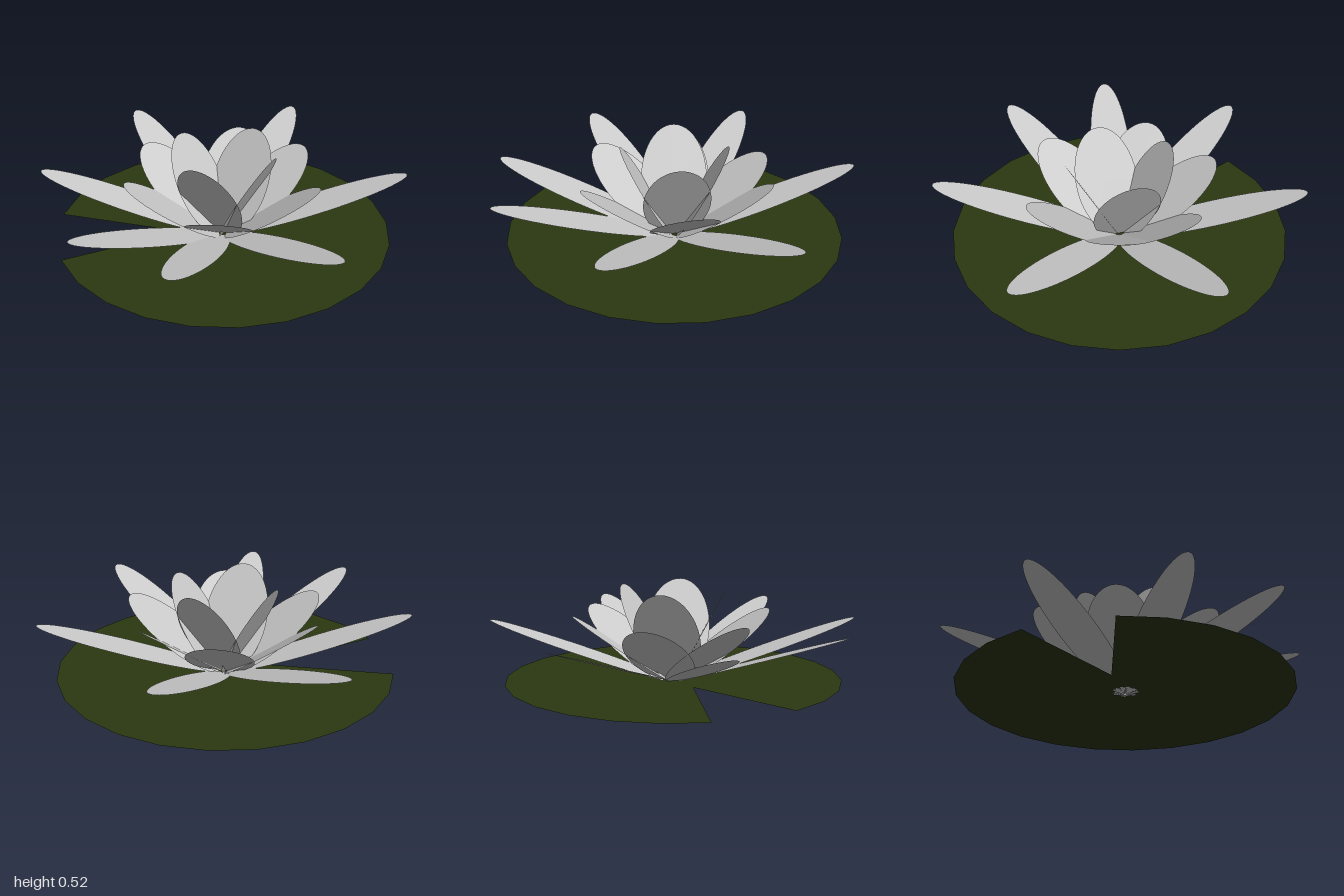
import * as THREE from 'three';

const CENTRE = [0.042, 0, -0.003];
const rad = THREE.MathUtils.degToRad;

// Flat elliptical petal running outwards along +x from the flower's heart, tilted up
function petalGeometry(reach, height, halfWidth) {
  const start = 0.01;
  const run = reach - start;
  const halfLength = Math.hypot(run, height) / 2;
  const geo = new THREE.CircleGeometry(1, 48);
  geo.rotateX(-Math.PI / 2);
  geo.scale(halfLength, 1, halfWidth);
  geo.translate(halfLength, 0, 0);
  geo.rotateZ(Math.atan2(height, run));
  geo.translate(start, 0, 0);
  return geo;
}

// Ring of equal petals, each at its own angle in degrees (from +x towards +z)
function petalRing(name, geo, angles, material) {
  const ring = new THREE.Group();
  ring.name = name;
  for (const angle of angles) {
    const petal = new THREE.Mesh(geo, material);
    petal.name = name.replace('Petals', 'Petal');
    petal.rotation.y = -rad(angle);
    ring.add(petal);
  }
  return ring;
}

// Thin 24-sided leaf with a wedge-shaped notch
function padGeometry(radius) {
  const points = [];
  for (let i = 0; i <= 22; i++) {
    const a = rad(165 + i * 15);
    points.push(new THREE.Vector2(radius * Math.cos(a), radius * Math.sin(a)));
  }
  const notch = rad(150);
  points.push(new THREE.Vector2(0.235 * Math.cos(notch), 0.235 * Math.sin(notch)));
  return new THREE.ShapeGeometry(new THREE.Shape(points)).rotateX(-Math.PI / 2);
}

export function createModel() {
  const model = new THREE.Group();
  model.name = 'waterLily';
  const petalMaterial = new THREE.MeshStandardMaterial({ color: 0xcccccc, side: THREE.DoubleSide });
  const padMaterial = new THREE.MeshStandardMaterial({ color: 0x2b3710, side: THREE.DoubleSide });

  // Floating leaf
  const pad = new THREE.Mesh(padGeometry(0.91), padMaterial);
  pad.name = 'lilyPad';
  pad.position.y = 0.015;
  model.add(pad);

  // Flower: long low outer petals, broad middle ones, upright inner ones
  model.add(
    petalRing('outerPetals', petalGeometry(0.998, 0.33, 0.113),
      [-86.3, -30.4, 31.6, 90.2, 140, 174.8, 220.5], petalMaterial),
    petalRing('middlePetals', petalGeometry(0.545, 0.375, 0.18),
      [0, 58.4, 130, 197.6, 252, 315.5], petalMaterial),
    petalRing('innerPetals', petalGeometry(0.29, 0.52, 0.18),
      [-111, -16, 64, 153], petalMaterial),
  );

  model.children.forEach((part) => {
    part.position.x = CENTRE[0];
    part.position.z = CENTRE[2];
  });
  return model;
}
